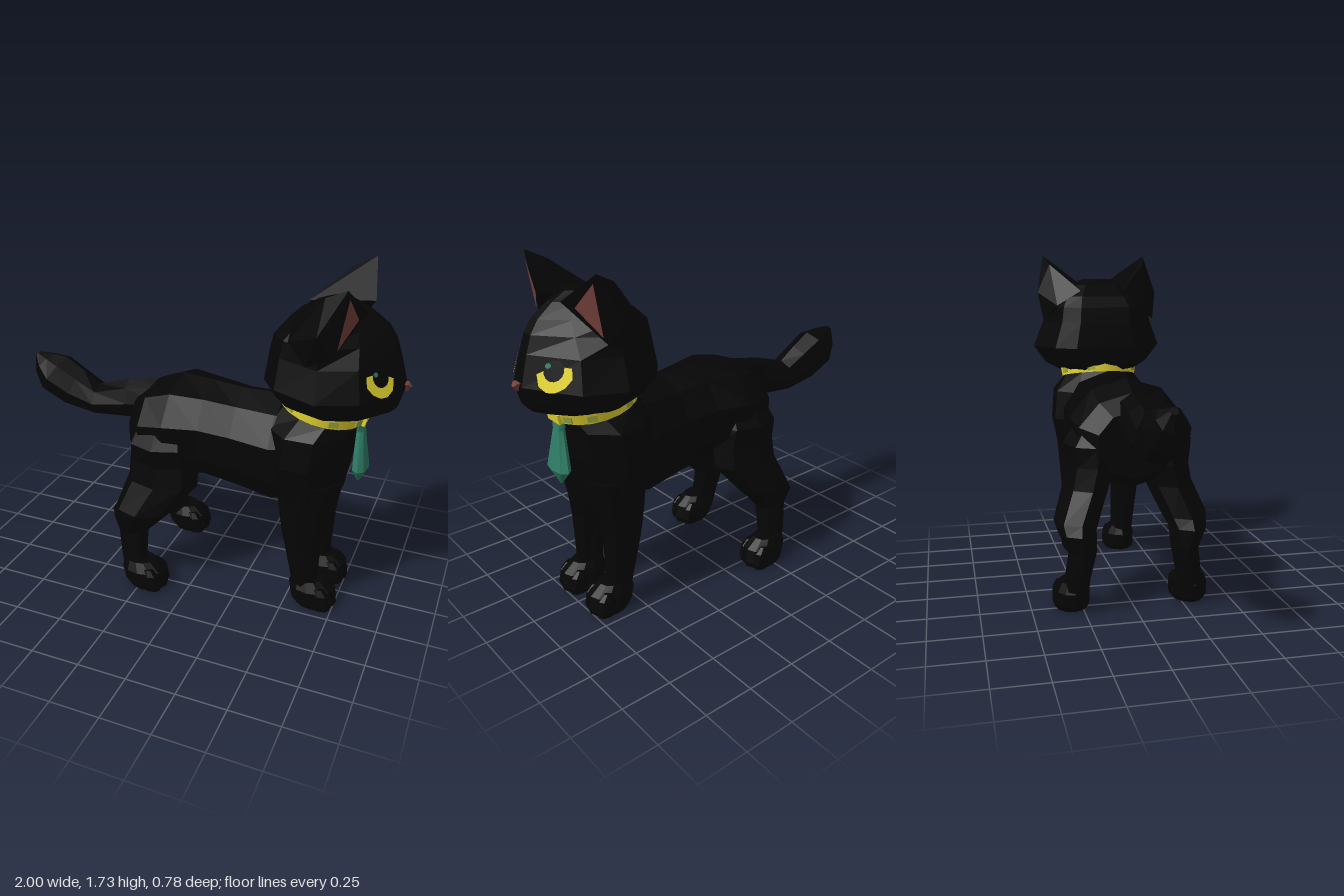
import * as THREE from 'three';
import { ConvexGeometry } from 'three/addons/geometries/ConvexGeometry.js';

const mat = (name, color, side = THREE.FrontSide) => {
  const m = new THREE.MeshStandardMaterial({ color, side });
  m.name = name;
  return m;
};

// Elliptical ring: half-size a along a direction tilted in the xy plane, b along z
function ring(cx, cy, cz, a, b, tilt = 0, n = 10) {
  return Array.from({ length: n }, (_, k) => {
    const t = (k / n) * Math.PI * 2, u = a * Math.cos(t);
    return new THREE.Vector3(cx + u * Math.cos(tilt), cy + u * Math.sin(tilt), cz + b * Math.sin(t));
  });
}

// Horizontal ring from its back and front x
const slab = (y, x0, x1, cz, hz, n = 10) => ring((x0 + x1) / 2, y, cz, (x1 - x0) / 2, hz, 0, n);

// Closed faceted skin through a list of rings
function loft(rings) {
  const out = [], n = rings[0].length;
  const tri = (...ps) => ps.forEach((p) => out.push(p.x, p.y, p.z));
  const mid = (r) => r.reduce((s, p) => s.add(p), new THREE.Vector3()).divideScalar(n);
  const last = rings[rings.length - 1], c0 = mid(rings[0]), c1 = mid(last);
  for (let k = 0; k < n; k++) {
    const j = (k + 1) % n;
    for (let i = 0; i < rings.length - 1; i++) {
      const a = rings[i], b = rings[i + 1];
      tri(a[k], b[k], a[j]);
      tri(b[k], b[j], a[j]);
    }
    tri(c0, rings[0][k], rings[0][j]);
    tri(c1, last[j], last[k]);
  }
  const g = new THREE.BufferGeometry();
  g.setAttribute('position', new THREE.Float32BufferAttribute(out, 3));
  g.computeVertexNormals();
  return g;
}

// Head levels: y, back x, front x, half width, width share at the front cheek
const HEAD = [
  [1.05, 0.55, 0.83, 0.14, 0.7], [1.09, 0.43, 0.92, 0.23, 0.75], [1.125, 0.40, 0.95, 0.295, 0.78],
  [1.22, 0.35, 0.975, 0.365, 0.78], [1.36, 0.365, 0.937, 0.31, 0.78], [1.44, 0.38, 0.91, 0.295, 0.6],
  [1.50, 0.44, 0.87, 0.26, 0.5], [1.56, 0.53, 0.79, 0.18, 0.5], [1.595, 0.60, 0.72, 0.07, 0.5],
];

function headRing([y, xb, xf, w, fw]) {
  const at = (t) => xb + t * (xf - xb);
  const half = [[xf, 0.1 * w], [at(0.76), fw * w], [at(0.47), w], [at(0.13), 0.74 * w], [xb, 0.45 * w]];
  const mirrored = half.slice().reverse().map(([x, z]) => [x, -z]);
  return half.concat(mirrored).map(([x, z]) => new THREE.Vector3(x, y, z));
}

// Depth of the face between the cheek and the muzzle at eye height
function faceX(y, z) {
  const t = (y - 1.22) / 0.14;
  const [, xb, xf, w, fw] = HEAD[3].map((v, i) => v + (HEAD[4][i] - v) * t);
  const s = (Math.abs(z) - 0.1 * w) / ((fw - 0.1) * w);
  return xf - s * 0.24 * (xf - xb);
}

// Flat outline in (z, y) laid onto the face
function faceDecal(points, lift) {
  const g = new THREE.ShapeGeometry(new THREE.Shape(points.map(([z, y]) => new THREE.Vector2(z, y))));
  const p = g.attributes.position;
  for (let i = 0; i < p.count; i++) {
    const z = p.getX(i), y = p.getY(i);
    p.setXYZ(i, faceX(y, z) + lift, y, z);
  }
  g.computeVertexNormals();
  return g;
}

const disc = (cz, cy, rz, ry, n = 14) => Array.from({ length: n }, (_, k) => {
  const t = (k / n) * Math.PI * 2;
  return [cz + rz * Math.cos(t), cy + ry * Math.sin(t)];
});

export function createModel() {
  const root = new THREE.Group();
  const fur = mat('black fur', 0x050505);
  const pupilBlack = mat('pupil black', 0x050505, THREE.DoubleSide);
  const yellow = mat('yellow', 0xf4e433, THREE.DoubleSide);
  const olive = mat('olive', 0x9aa23c);
  const teal = mat('teal', 0x2f7d66, THREE.DoubleSide);
  const pink = mat('dusky pink', 0x74403a, THREE.DoubleSide);
  const add = (name, geo, m, parent = root) => {
    const mesh = new THREE.Mesh(geo, m);
    mesh.name = name;
    parent.add(mesh);
    return mesh;
  };

  // Trunk, front to rear: x, bottom, top, half width
  add('body', loft([
    [0.52, 0.56, 1.08, 0.22], [0.40, 0.525, 1.085, 0.245], [0.20, 0.56, 1.085, 0.225], [0.04, 0.595, 1.10, 0.25],
    [-0.13, 0.58, 1.115, 0.30], [-0.27, 0.60, 1.06, 0.275], [-0.355, 0.66, 0.99, 0.19],
  ].map(([x, y0, y1, w]) => ring(x, (y0 + y1) / 2, 0, (y1 - y0) / 2, w, Math.PI / 2))), fur);

  // Chest rising into the neck
  add('chest', loft([
    slab(0.53, 0.44, 0.68, 0, 0.19), slab(0.65, 0.38, 0.73, 0, 0.25), slab(0.82, 0.32, 0.76, 0, 0.285),
    slab(0.975, 0.33, 0.78, 0, 0.27), ring(0.60, 1.05, 0, 0.20, 0.205, -0.2), ring(0.61, 1.13, 0, 0.19, 0.19, -0.2),
  ]), fur);

  // Tail: x, y, half height, half width, tilt
  add('tail', loft([
    [-0.18, 0.96, 0.12, 0.10, 1.62], [-0.42, 0.92, 0.11, 0.085, 1.75], [-0.62, 0.885, 0.085, 0.09, 1.52],
    [-0.76, 0.93, 0.115, 0.098, 1.1], [-0.88, 0.995, 0.12, 0.105, 0.95], [-0.945, 1.045, 0.075, 0.065, 0.8],
    [-0.985, 1.085, 0.02, 0.02, 0.8],
  ].map(([x, y, a, b, t]) => ring(x, y, 0, a, b, t, 8))), fur);

  // Legs and paws: y, back x, front x, centre z, half width
  const HIND = [
    [0.05, -0.35, -0.22, 0.29, 0.065], [0.16, -0.375, -0.23, 0.28, 0.065], [0.30, -0.40, -0.23, 0.255, 0.07],
    [0.40, -0.42, -0.14, 0.275, 0.095], [0.45, -0.395, -0.09, 0.27, 0.115], [0.60, -0.35, 0.03, 0.21, 0.12],
    [0.71, -0.35, 0.03, 0.185, 0.125], [0.81, -0.35, 0.01, 0.18, 0.145], [0.97, -0.29, -0.04, 0.11, 0.11],
  ];
  const FORE = [
    [0.05, 0.53, 0.66, 0.13, 0.06], [0.16, 0.515, 0.66, 0.135, 0.065], [0.40, 0.465, 0.67, 0.145, 0.08],
    [0.53, 0.44, 0.69, 0.135, 0.10], [0.72, 0.42, 0.73, 0.14, 0.11],
  ];
  for (const [side, s] of [['left', 1], ['right', -1]]) {
    for (const [name, rows, x0, cz] of [['HindLeg', HIND, -0.36, 0.3], ['FrontLeg', FORE, 0.51, 0.125]]) {
      const leg = new THREE.Group();
      leg.name = side + name;
      root.add(leg);
      add('leg', loft(rows.map(([y, a, b, z, h]) => slab(y, a, b, z * s, h, 8))), fur, leg);
      add('paw', loft([
        slab(0, x0 + 0.04, x0 + 0.24, cz * s, 0.08, 12), slab(0.03, x0 + 0.015, x0 + 0.255, cz * s, 0.092, 12),
        slab(0.10, x0, x0 + 0.24, cz * s, 0.088, 12), slab(0.148, x0 + 0.02, x0 + 0.18, cz * s, 0.062, 12),
      ]), fur, leg);
      for (const i of [-1, 0, 1]) {
        const z = cz * s + i * 0.054, x = x0 + 0.2 - Math.abs(i) * 0.014;
        add('toe', loft([
          slab(0, x - 0.05, x + 0.045, z, 0.028, 8), slab(0.03, x - 0.06, x + 0.055, z, 0.034, 8),
          slab(0.09, x - 0.06, x + 0.042, z, 0.032, 8), slab(0.122, x - 0.05, x + 0.01, z, 0.018, 8),
        ]), fur, leg);
      }
    }
  }

  // Head with ears, eyes and nose
  add('head', loft(HEAD.map(headRing)), fur);
  for (const [side, s] of [['left', 1], ['right', -1]]) {
    const v = (x, y, z) => new THREE.Vector3(x, y, z * s);
    const tip = v(0.74, 1.725, 0.295), inner = v(0.79, 1.575, 0.085), low = v(0.69, 1.415, 0.29);
    add(side + 'Ear', new ConvexGeometry([
      tip, inner, low, v(0.63, 1.52, 0.34), v(0.58, 1.37, 0.315), v(0.47, 1.53, 0.12), v(0.48, 1.45, 0.25),
      v(0.64, 1.675, 0.27),
    ]), fur);

    // Pink patch inset on the front of the ear
    const mix = (a, b, c) => tip.clone().multiplyScalar(a).addScaledVector(inner, b).addScaledVector(low, c)
      .add(v(0.007, 0, 0.003));
    const patch = new THREE.BufferGeometry().setFromPoints(
      [mix(0.82, 0.09, 0.09), mix(0.14, 0.64, 0.22), mix(0.07, 0.07, 0.86)]);
    patch.computeVertexNormals();
    add(side + 'InnerEar', patch, pink);

    const eye = [[0.223, 1.328], [0.236, 1.285], [0.215, 1.245], [0.18, 1.22], [0.145, 1.217], [0.11, 1.238],
      [0.092, 1.288], [0.125, 1.31], [0.17, 1.33]];
    add(side + 'Eye', faceDecal(eye.map(([z, y]) => [z * s, y]), 0.009), yellow);
    add(side + 'Pupil', faceDecal(disc(0.16 * s, 1.31, 0.04, 0.045), 0.013), pupilBlack);
    add(side + 'EyeGlint', faceDecal(disc(0.16 * s + 0.024, 1.33, 0.012, 0.012, 8), 0.017), teal);
  }
  add('nose', new ConvexGeometry([[0.955, 1.238, 0.027], [0.955, 1.238, -0.027], [0.985, 1.236, 0.022],
    [0.985, 1.236, -0.022], [1, 1.222, 0.008], [1, 1.222, -0.008], [0.982, 1.195, 0], [0.95, 1.2, 0],
  ].map((p) => new THREE.Vector3(...p))), pink);

  // Collar band with inset studs and a knot
  const collar = new THREE.Group();
  collar.name = 'collar';
  collar.position.set(0.603, 1.076, 0);
  collar.rotation.z = -0.2;
  root.add(collar);
  add('band', new THREE.CylinderGeometry(0.217, 0.208, 0.054, 20, 1, true), yellow, collar);
  for (const a of [0.42, 1.1, 2.2, 3.5, 4.4, 5.3, 5.86]) {
    const stud = add('stud', new THREE.BoxGeometry(0.008, 0.03, 0.045), olive, collar);
    stud.position.set(0.211 * Math.cos(a), 0, 0.211 * Math.sin(a));
    stud.rotation.y = -a;
  }
  add('knot', new THREE.BoxGeometry(0.03, 0.048, 0.1), yellow, collar).position.set(0.205, -0.004, 0);

  // Necktie, bottom to top: y, centre x, half depth, half width
  add('tie', loft([
    [0.69, 0.795, 0.006, 0.006], [0.77, 0.803, 0.04, 0.085], [0.965, 0.79, 0.024, 0.036], [1.01, 0.785, 0.024, 0.048],
  ].map(([y, x, a, b]) => ring(x, y, 0, a, b, 0, 8))), teal);

  return root;
}
